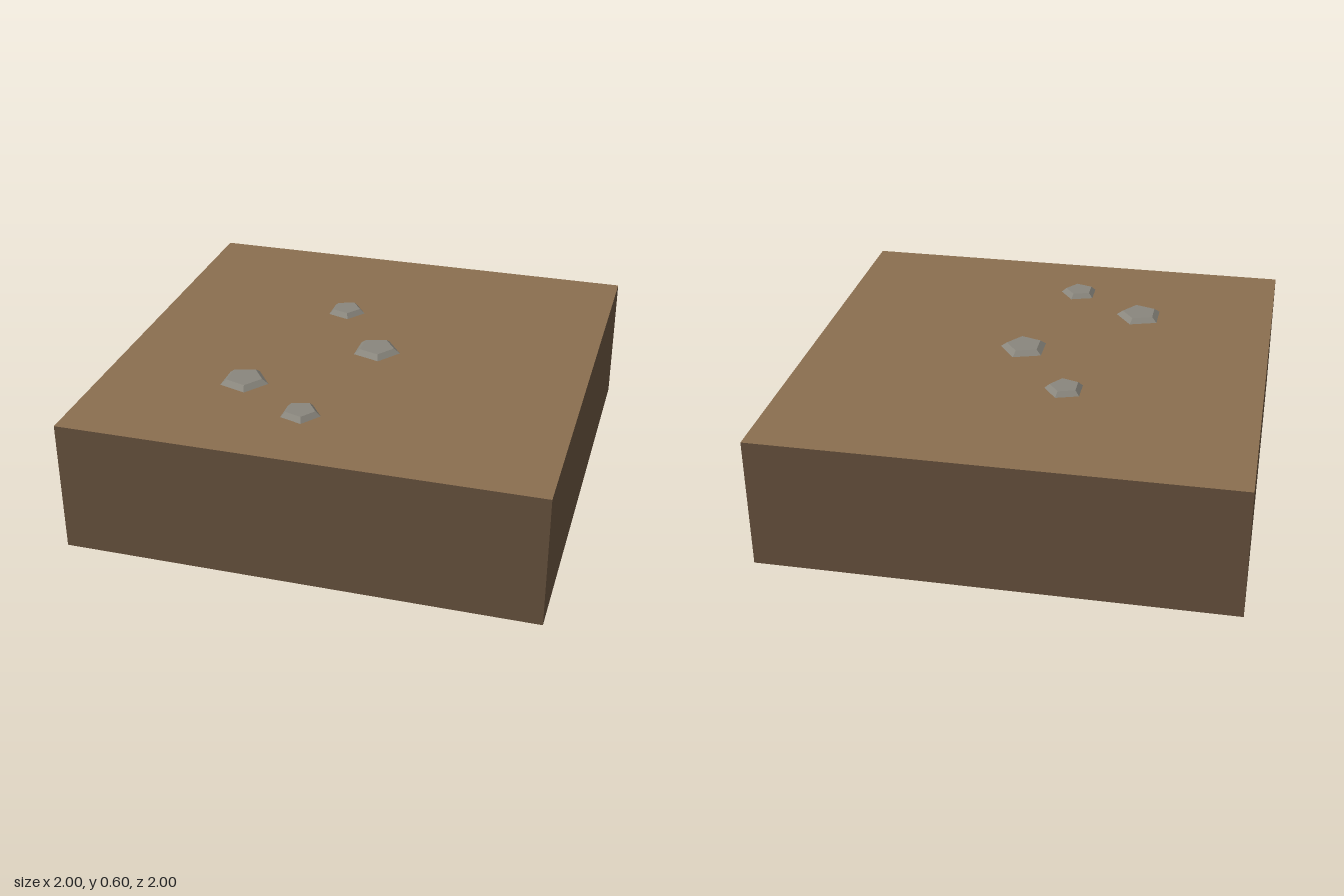
import * as THREE from 'three';

const HEIGHT = 0.57;

export function createModel() {
  const mat = (name, color, extra = {}) => {
    const m = new THREE.MeshStandardMaterial({ color, ...extra });
    m.name = name;
    return m;
  };
  const topSoil = mat('topSoil', 0x8a6e4f);
  const sideSoil = mat('sideSoil', 0x65503c);
  const stone = mat('stone', 0x89867d, { flatShading: true });

  const group = new THREE.Group();
  group.name = 'dirtTile';

  // Ground block: lighter soil on top, darker soil on the other faces
  const block = new THREE.Mesh(
    new THREE.BoxGeometry(2, HEIGHT, 2),
    [sideSoil, sideSoil, topSoil, sideSoil, sideSoil, sideSoil]
  );
  block.name = 'groundBlock';
  block.position.y = HEIGHT / 2;
  group.add(block);

  // Five-sided bevelled pebbles, one corner pointing to +x: [x, z, radius]
  const pebbles = [
    [0.064, 0.013, 0.106],
    [-0.396, 0.44, 0.106],
    [-0.177, -0.342, 0.086],
    [-0.081, 0.647, 0.086],
  ];
  pebbles.forEach(([x, z, r], i) => {
    const geo = new THREE.CylinderGeometry(r * 0.74, r, 0.02, 5, 1, false, Math.PI / 2);
    const pebble = new THREE.Mesh(geo, stone);
    pebble.name = `pebble${i + 1}`;
    pebble.position.set(x, HEIGHT + 0.018, z);
    group.add(pebble);
  });

  return group;
}
